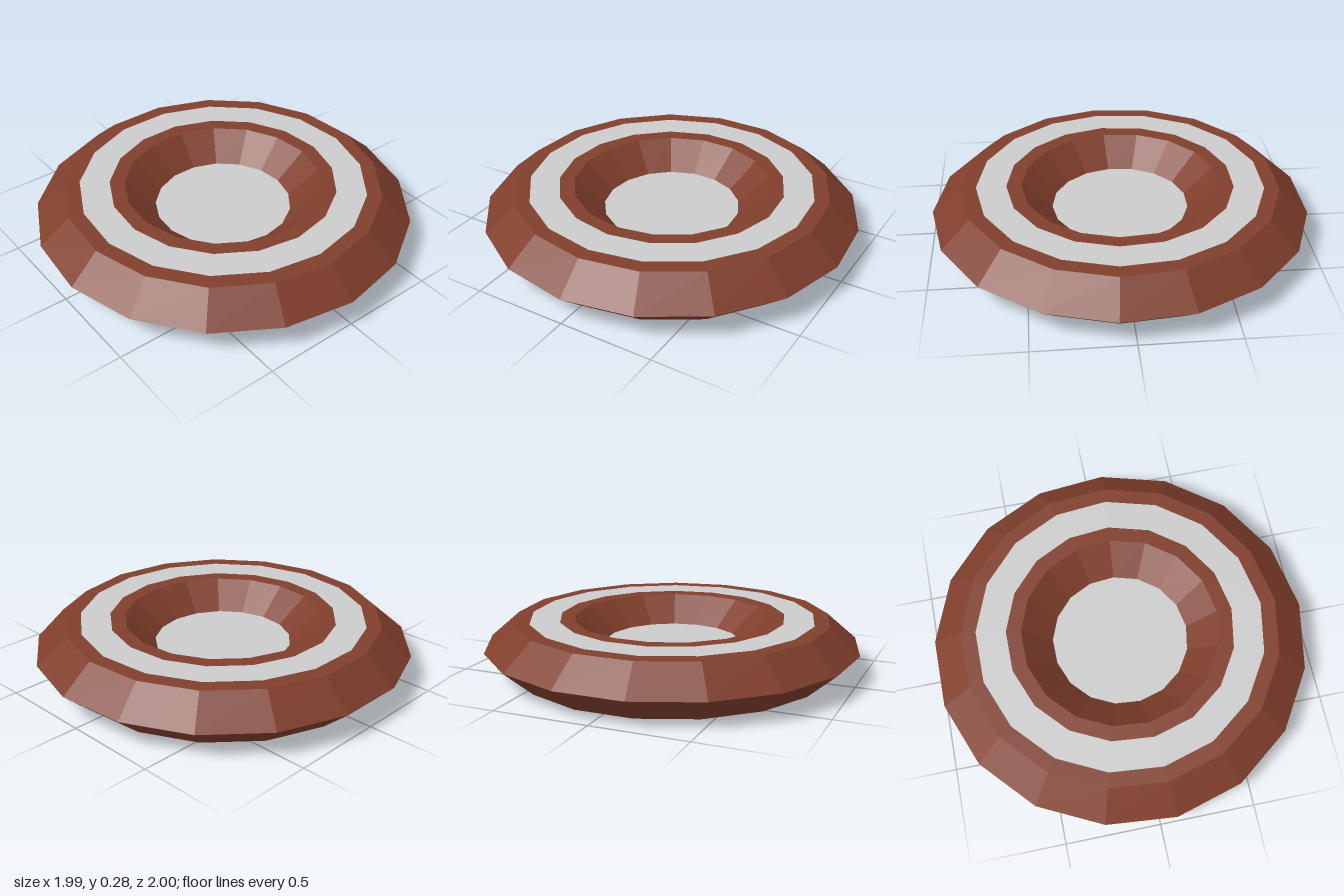
import * as THREE from 'three';

const SIDES = 17;
const RADIUS = 0.685; // middle of the ring
const TUBE = 0.3195;
const MID = 0.138; // half the height

export function createModel() {
  const group = new THREE.Group();
  const brown = new THREE.MeshStandardMaterial({ color: 0x803e2c, flatShading: true });
  const grey = new THREE.MeshStandardMaterial({ color: 0xcccccc, flatShading: true, side: THREE.DoubleSide });

  const add = (name, geometry, material, y) => {
    geometry.rotateX(-Math.PI / 2);
    const mesh = new THREE.Mesh(geometry, material);
    mesh.name = name;
    mesh.position.set(-0.0085, y, 0); // odd side count: centre the bounds on x
    group.add(mesh);
    return mesh;
  };

  // Six-sided ring, squashed to half its height
  add('ring', new THREE.TorusGeometry(RADIUS, TUBE, 6, SIDES), brown, MID).scale.y = 0.5;

  // Flat stripe on the upper face
  add('topStripe', new THREE.RingGeometry(RADIUS - 0.08, RADIUS + 0.08, SIDES), grey, 2 * MID + 0.002);

  // Thin disc closing the hole at mid height
  add('centreDisc', new THREE.CircleGeometry(RADIUS - TUBE, SIDES), grey, MID);

  return group;
}
